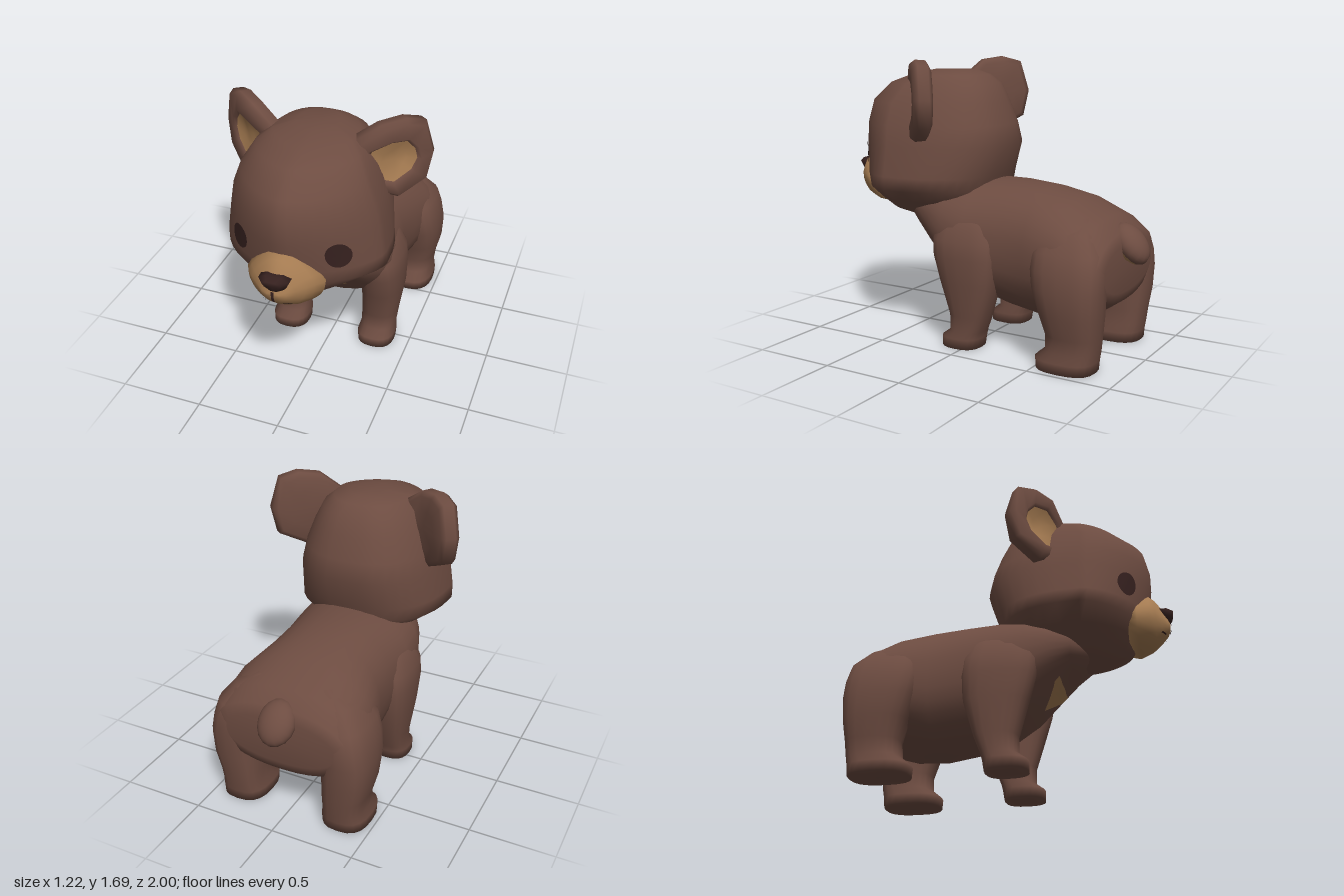
import * as THREE from 'three';

const fur = new THREE.MeshStandardMaterial({ color: 0x6d4c41, name: 'brown fur' });
const tan = new THREE.MeshStandardMaterial({ color: 0xa67c52, name: 'tan fur' });
const dark = new THREE.MeshStandardMaterial({ color: 0x36211f, name: 'dark brown' });

// Smooth skin over a list of closed rings of [x, y, z] points, capped at the ends
function loft(rings, capStart = true, capEnd = true) {
  const n = rings[0].length, pos = rings.flat(2), idx = [];
  const at = (i, j) => i * n + (j % n);
  for (let i = 0; i < rings.length - 1; i++) {
    for (let j = 0; j < n; j++) {
      idx.push(at(i, j), at(i, j + 1), at(i + 1, j + 1), at(i, j), at(i + 1, j + 1), at(i + 1, j));
    }
  }
  const cap = (i, flip) => {
    const c = pos.length / 3;
    for (let k = 0; k < 3; k++) pos.push(rings[i].reduce((s, p) => s + p[k], 0) / n);
    for (let j = 0; j < n; j++) idx.push(c, at(i, j + (flip ? 1 : 0)), at(i, j + (flip ? 0 : 1)));
  };
  if (capStart) cap(0, true);
  if (capEnd) cap(rings.length - 1, false);
  const g = new THREE.BufferGeometry();
  g.setAttribute('position', new THREE.Float32BufferAttribute(pos, 3));
  g.setIndex(idx);
  g.computeVertexNormals();
  return g;
}

const bend = (v, e) => Math.sign(v) * Math.pow(Math.abs(v), 2 / e);
const around = (n, f) => Array.from({ length: n }, (_, j) => f((j / n) * Math.PI * 2));

// Horizontal ring: front and back may have different roundness
function flatRing(n, x, y, zFront, zBack, hw, mid, eFront, eBack) {
  const zm = zBack + (zFront - zBack) * mid;
  return around(n, a => {
    const c = Math.cos(a), e = c > 0 ? eFront : eBack;
    return [x + hw * bend(Math.sin(a), e), y, zm + (c > 0 ? zFront - zm : zm - zBack) * bend(c, e)];
  });
}

// Upright ring facing z; pinch narrows its upper half
function uprightRing(n, z, top, bottom, hw, e = 2, pinch = 0) {
  return around(n, a => [
    hw * bend(Math.cos(a), e) * (1 - pinch * Math.max(0, Math.sin(a))),
    (top + bottom) / 2 + (top - bottom) / 2 * bend(Math.sin(a), e), z,
  ]);
}

// Thin painted patch: a counter-clockwise outline laid onto the front of a mesh
function decal(outline, target, lift = 0.006) {
  const fine = [], parts = outline.length > 12 ? 1 : 6;
  outline.forEach((p, i) => {
    const q = outline[(i + 1) % outline.length];
    for (let k = 0; k < parts; k++) fine.push([p[0] + (q[0] - p[0]) * k / parts, p[1] + (q[1] - p[1]) * k / parts]);
  });
  const cx = fine.reduce((s, p) => s + p[0], 0) / fine.length;
  const cy = fine.reduce((s, p) => s + p[1], 0) / fine.length;
  const ray = new THREE.Raycaster();
  const drop = (x, y) => {
    ray.set(new THREE.Vector3(x, y, 3), new THREE.Vector3(0, 0, -1));
    const hit = ray.intersectObject(target)[0];
    return hit ? hit.point.addScaledVector(hit.face.normal, lift).toArray() : [x, y, 0];
  };
  const rings = [1, 0.8, 0.6, 0.4, 0.2, 0.04].map(t =>
    fine.map(p => drop(cx + (p[0] - cx) * t, cy + (p[1] - cy) * t)));
  return loft(rings, false, true);
}

// Ear outlines (outer edge and lining edge) as offsets from the ear centre, in the ear's plane
const earEdge = [[0.222, 0.015], [0.165, 0.205], [0.05, 0.235], [-0.09, 0.215], [-0.22, 0.12], [-0.26, -0.04], [-0.2, -0.16], [0.01, -0.235], [0.185, -0.15]];
const earInner = [[0.115, -0.01], [0.1, 0.05], [0.05, 0.105], [-0.04, 0.11], [-0.14, 0.06], [-0.17, -0.02], [-0.13, -0.1], [-0.02, -0.13], [0.08, -0.075]];

export function createModel() {
  const model = new THREE.Group();
  const add = (name, geometry, material, parent = model) => {
    const m = new THREE.Mesh(geometry, material);
    m.name = name;
    parent.add(m);
    return m;
  };

  // Body: z, top, bottom, half width
  const body = add('body', loft([
    [-0.885, 0.68, 0.4, 0.34], [-0.865, 0.745, 0.34, 0.41], [-0.78, 0.82, 0.28, 0.45],
    [-0.6, 0.91, 0.22, 0.45], [-0.4, 0.96, 0.2, 0.395], [-0.2, 0.98, 0.23, 0.38],
    [0, 0.98, 0.29, 0.4], [0.15, 0.98, 0.4, 0.395], [0.27, 0.95, 0.525, 0.35],
    [0.4, 0.9, 0.65, 0.27], [0.5, 0.85, 0.705, 0.17],
  ].map(([z, t, b, w]) => uprightRing(32, z, t, b, w, 2.25))), fur);

  // Head: y, front z, back z, half width
  const head = add('head', loft([
    [0.69, 0.5, 0.12, 0.09], [0.755, 0.745, 0.06, 0.21], [0.84, 0.8, 0, 0.355],
    [0.92, 0.83, -0.03, 0.47], [1.0, 0.855, -0.05, 0.465], [1.18, 0.88, -0.11, 0.44],
    [1.3, 0.88, -0.085, 0.415], [1.43, 0.85, -0.04, 0.365], [1.54, 0.72, 0.01, 0.3],
    [1.59, 0.57, 0.08, 0.23], [1.62, 0.42, 0.15, 0.12],
  ].map(([y, f, b, w]) => flatRing(36, 0, y, f, b, w, 0.6, 1.6, 2.5))), fur);

  // Muzzle: z, top, bottom, half width
  const muzzle = add('muzzle', loft([
    [0.735, 1.08, 0.785, 0.21], [0.79, 1.12, 0.77, 0.225], [0.86, 1.135, 0.793, 0.19],
    [0.895, 1.105, 0.815, 0.155], [0.93, 1.055, 0.845, 0.11], [0.962, 0.99, 0.88, 0.07], [0.977, 0.95, 0.915, 0.035],
  ].map(([z, t, b, w]) => uprightRing(24, z, t, b, w, 2.1, 0.33))), tan);

  // Nose with a backward-sloping lower front, and mouth
  const noseOutline = [[0.088, 0.02], [0.045, 0.042], [-0.045, 0.042], [-0.088, 0.02], [-0.07, -0.022], [-0.02, -0.06], [0.02, -0.06], [0.07, -0.022]];
  add('nose', loft([[0.9, 1, 0], [0.962, 0.96, 0], [0.993, 0.6, 0.25]].map(([z, s, slope]) =>
    noseOutline.map(([x, y]) => [x * s, 1.005 + (y - 0.005) * s, z + y * s * slope]))), dark);
  const bar = (x, y, w, h) => [[x - w, y - h], [x + w, y - h], [x + w, y + h], [x - w, y + h]];
  add('mouthLine', decal(bar(0, 0.92, 0.008, 0.033), muzzle), dark);

  for (const s of [1, -1]) {
    const side = s > 0 ? 'left' : 'right';
    add(side + 'MouthMark', decal(bar(s * 0.065, 0.87, 0.02, 0.004), muzzle), dark);

    // Eye, leaning slightly inward
    add(side + 'Eye', decal(around(20, a =>
      [s * (0.277 - 0.01 * Math.sin(a)) + 0.059 * Math.cos(a), 1.098 + 0.076 * Math.sin(a)]), head), dark);

    // Ear: thick rim around a shallow tan lining, its inner side curving back into the head
    const ear = new THREE.Group();
    ear.name = side + 'Ear';
    const earRing = (pts, k, d) => {
      const ring = pts.map(([u, v]) => [s * u * k, v * k, d - 0.45 * Math.max(0, -u * k - 0.06)]);
      return s > 0 ? ring : ring.reverse();
    };
    add('earShell', loft([
      earRing(earEdge, 0.5, -0.068), earRing(earEdge, 0.85, -0.055), earRing(earEdge, 0.98, -0.035),
      earRing(earEdge, 1, 0.025), earRing(earEdge, 0.9, 0.055), earRing(earInner, 1.15, 0.055), earRing(earInner, 1, 0.035),
    ], true, false), fur, ear);
    add('earLining', loft([
      earRing(earInner, 1, 0.035), earRing(earInner, 0.5, 0.015),
    ], false, true), tan, ear);
    ear.position.set(s * 0.427, 1.455, 0.255);
    ear.rotation.y = s * 0.75;
    model.add(ear);

    // Legs: y, centre x, front z, back z, half width
    const leg = (name, rows) => add(name, loft(rows.map(([y, x, f, b, w]) =>
      flatRing(20, s * x, y, f, b, w, 0.5, 2.5, 2.7))), fur);
    leg(side + 'FrontLeg', [
      [0, 0.29, 0.165, -0.08, 0.115], [0.06, 0.29, 0.165, -0.09, 0.118], [0.1, 0.29, 0.11, -0.1, 0.108],
      [0.2, 0.295, 0.11, -0.14, 0.112], [0.4, 0.31, 0.17, -0.2, 0.125], [0.55, 0.315, 0.215, -0.215, 0.126],
      [0.65, 0.305, 0.225, -0.21, 0.125], [0.76, 0.265, 0.21, -0.18, 0.115], [0.86, 0.2, 0.14, -0.1, 0.07],
    ]);
    leg(side + 'HindLeg', [
      [0, 0.33, -0.49, -0.84, 0.14], [0.06, 0.33, -0.485, -0.845, 0.142], [0.11, 0.33, -0.545, -0.855, 0.125],
      [0.2, 0.335, -0.55, -0.865, 0.13], [0.32, 0.35, -0.515, -0.88, 0.145], [0.46, 0.355, -0.47, -0.888, 0.148],
      [0.56, 0.34, -0.45, -0.885, 0.145], [0.66, 0.315, -0.45, -0.865, 0.14], [0.76, 0.25, -0.48, -0.79, 0.12],
      [0.83, 0.18, -0.53, -0.72, 0.06],
    ]);
  }

  // Chest patch
  add('chestPatch', decal([[0, 0.46], [0.17, 0.57], [0.175, 0.6], [0.08, 0.585], [-0.08, 0.585], [-0.175, 0.6], [-0.17, 0.57]], body), tan);

  // Tail hanging back, with tan underside
  for (const [name, start, len, mat] of [['tail', 0, 0.62, fur], ['tailUnderside', 0.62, 0.38, tan]]) {
    const g = new THREE.SphereGeometry(1, 16, 12, 0, Math.PI * 2, start * Math.PI, len * Math.PI);
    const t = add(name, g.scale(0.11, 0.08, 0.135), mat);
    t.position.set(0, 0.67, -0.893);
    t.rotation.x = -0.87;
  }
  return model;
}
